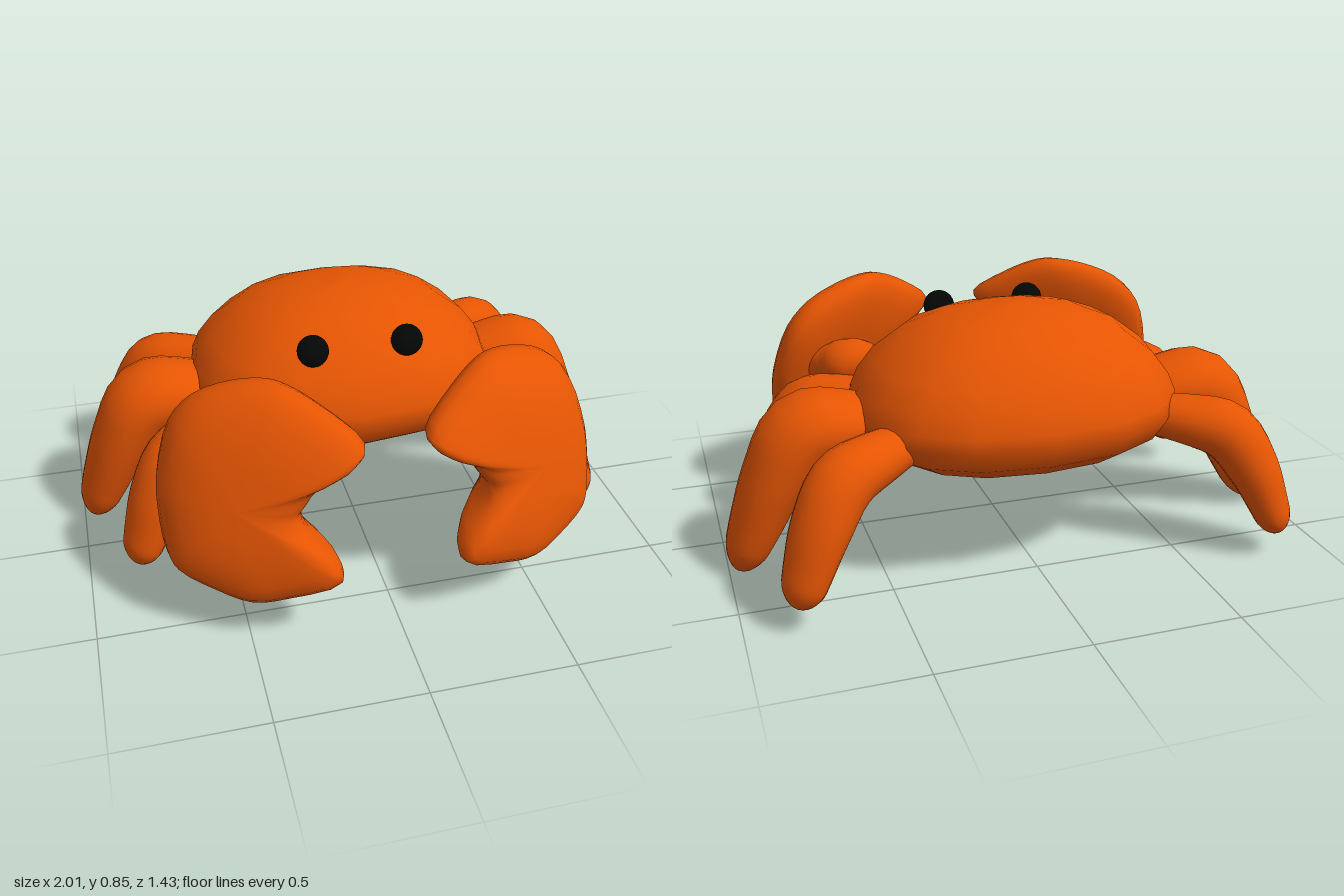
import * as THREE from 'three';

const shell = new THREE.MeshStandardMaterial({ color: 0xe65503 });
const black = new THREE.MeshStandardMaterial({ color: 0x050606 });

// Skins a row of closed loops; side = -1 mirrors it in x.
function loft(rings, side = 1) {
  const n = rings[0].length, pos = [], idx = [];
  rings.forEach(r => r.forEach(p => pos.push(p.x * side, p.y, p.z)));
  const tri = (a, b, c) => (side > 0 ? idx.push(a, b, c) : idx.push(a, c, b));
  for (let i = 0; i < rings.length - 1; i++)
    for (let j = 0; j < n; j++) {
      const k = (j + 1) % n, a = i * n + j, b = i * n + k;
      tri(a, b, b + n);
      tri(a, b + n, a + n);
    }
  // end caps
  [0, rings.length - 1].forEach(i => {
    const c = pos.length / 3;
    const m = rings[i].reduce((s, p) => s.add(p), new THREE.Vector3()).divideScalar(n);
    pos.push(m.x * side, m.y, m.z);
    for (let j = 0; j < n; j++) {
      const a = i * n + j, b = i * n + (j + 1) % n;
      i ? tri(a, b, c) : tri(b, a, c);
    }
  });
  const g = new THREE.BufferGeometry();
  g.setAttribute('position', new THREE.Float32BufferAttribute(pos, 3));
  g.setIndex(idx);
  g.computeVertexNormals();
  return g;
}

// Limb with an elliptical section; each point is [x, y, z, half width, half thickness].
function limb(points, side) {
  const path = new THREE.CatmullRomCurve3(points.map(p => new THREE.Vector3(p[0], p[1], p[2])));
  const size = new THREE.CatmullRomCurve3(points.map(p => new THREE.Vector3(p[3], p[4], 0)));
  const a = points[0], e = points[points.length - 1];
  const w = new THREE.Vector3(e[2] - a[2], 0, a[0] - e[0]).normalize();
  const rings = [], steps = 26;
  for (let i = 0; i <= steps; i++) {
    const t = Math.sin((i / steps) * Math.PI / 2);
    const c = path.getPoint(t), s = size.getPoint(t);
    const u = path.getTangent(t).cross(w).normalize();
    const round = t > 0.88 ? Math.sqrt(Math.max(0.0004, 1 - ((t - 0.88) / 0.12) ** 2)) : 1;
    rings.push(Array.from({ length: 20 }, (_, j) => {
      const q = (j / 20) * Math.PI * 2;
      return c.clone()
        .addScaledVector(w, Math.cos(q) * s.x * round)
        .addScaledVector(u, Math.sin(q) * s.y * round);
    }));
  }
  return loft(rings, side);
}

// Domed body on a squarish sixteen-sided plan, with a flattened belly.
function bodyGeometry() {
  const profile = [[0.02, 0.335], [0.3, 0.336], [0.57, 0.343], [0.76, 0.375], [0.92, 0.43], [1, 0.5],
    [0.985, 0.55], [0.94, 0.61], [0.84, 0.685], [0.65, 0.767], [0.45, 0.812], [0.25, 0.838], [0.02, 0.85]];
  const power = v => Math.sign(v) * Math.abs(v) ** 0.84;
  return loft(profile.map(([r, y]) => Array.from({ length: 16 }, (_, j) => {
    const q = (j / 16) * Math.PI * 2;
    return new THREE.Vector3(0.565 * r * power(Math.sin(q)), y, -0.215 + 0.465 * r * power(Math.cos(q)));
  })));
}

// Cushioned C-shaped pincer lying on a tilted plane.
function clawGeometry(side) {
  const outline = [[0.1, 0.67], [0.13, 0.62], [0.24, 0.55], [0.285, 0.49], [0.31, 0.45], [0.29, 0.39],
    [0.21, 0.305], [0.2, 0.24], [0.37, 0.165], [0.49, 0.137], [0.6, 0.165], [0.715, 0.22], [0.74, 0.27],
    [0.75, 0.4], [0.742, 0.5], [0.685, 0.67], [0.6, 0.76], [0.47, 0.815], [0.36, 0.83], [0.3, 0.815], [0.21, 0.765]];
  const curve = new THREE.CatmullRomCurve3(
    outline.map(([x, y]) => new THREE.Vector3(x, y, 0)), true, 'centripetal');
  const loop = curve.getPoints(63).slice(0, 63);
  const half = [[0.02, 0.13], [0.3, 0.128], [0.55, 0.12], [0.76, 0.1], [0.9, 0.074], [0.975, 0.042]];
  const layers = [
    ...half.map(([s, h]) => [s, -h]), [1, 0], ...half.map(([s, h]) => [s, h]).reverse()];
  return loft(layers.map(([s, h]) => loop.map(p => {
    const x = 0.52 + (p.x - 0.52) * s, y = 0.48 + (p.y - 0.48) * s;
    return new THREE.Vector3(x, y, 0.84 - 0.44 * x - 0.36 * y + h);
  })), side);
}

const middleLeg = [[0.4, 0.47, -0.21, 0.09, 0.07], [0.58, 0.485, -0.21, 0.15, 0.11],
  [0.72, 0.472, -0.21, 0.16, 0.132], [0.825, 0.325, -0.21, 0.15, 0.11],
  [0.9, 0.16, -0.21, 0.122, 0.088], [0.967, 0, -0.21, 0.085, 0.062]];
const frontLeg = [[0.36, 0.48, -0.04, 0.06, 0.06], [0.54, 0.465, 0.065, 0.1, 0.085],
  [0.66, 0.43, 0.13, 0.108, 0.1], [0.74, 0.31, 0.178, 0.105, 0.088],
  [0.79, 0.19, 0.207, 0.09, 0.07], [0.832, 0.075, 0.233, 0.068, 0.054]];
const backLeg = frontLeg.map(([x, y, z, a, b]) => [x, y, -0.42 - z, a, b]);
const arm = [[0.3, 0.54, 0.0, 0.06, 0.06], [0.42, 0.55, 0.13, 0.08, 0.073],
  [0.53, 0.54, 0.25, 0.08, 0.073], [0.6, 0.5, 0.34, 0.06, 0.06]];

export function createModel() {
  const crab = new THREE.Group();
  crab.name = 'crab';
  const add = (name, geometry, material = shell) => {
    const mesh = new THREE.Mesh(geometry, material);
    mesh.name = name;
    crab.add(mesh);
    return mesh;
  };

  add('body', bodyGeometry());
  for (const [label, side] of [['left', 1], ['right', -1]]) {
    add(label + 'FrontLeg', limb(frontLeg, side));
    add(label + 'MiddleLeg', limb(middleLeg, side));
    add(label + 'BackLeg', limb(backLeg, side));
    add(label + 'Arm', limb(arm, side));
    add(label + 'Claw', clawGeometry(side));
    add(label + 'Eye', new THREE.SphereGeometry(0.055, 24, 16), black).position.set(0.166 * side, 0.763, 0.108);
  }
  return crab;
}
